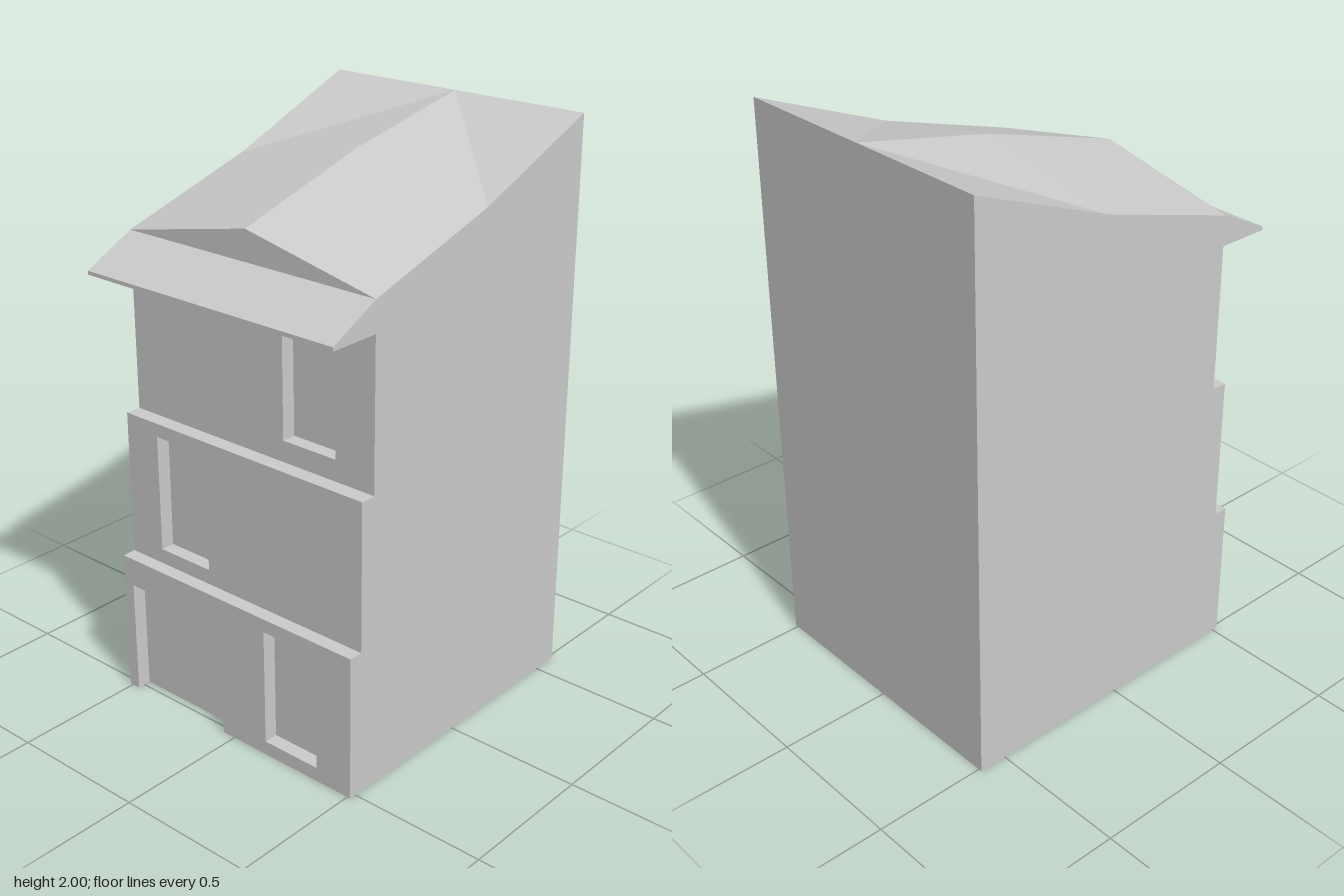
import * as THREE from 'three';

const W = 0.512; // half width of the house
const BACK = -0.6;
const EAVE_Z = 0.42;

const material = new THREE.MeshStandardMaterial({
  color: 0xcccccc, flatShading: true, side: THREE.DoubleSide,
});

function shapeOf(points) {
  return new THREE.Shape(points.map(([x, y]) => new THREE.Vector2(x, y)));
}

// Flat faces, each a fan of counter-clockwise corners
function faces(list) {
  const pos = [];
  for (const f of list) {
    for (let i = 1; i < f.length - 1; i++) pos.push(...f[0], ...f[i], ...f[i + 1]);
  }
  const g = new THREE.BufferGeometry();
  g.setAttribute('position', new THREE.Float32BufferAttribute(pos, 3));
  g.computeVertexNormals();
  return g;
}

// Inside of a window or door opening; a doorway at ground level has no sill
function recess({ x0, x1, y0, y1 }, z, depth = 0.05) {
  const b = z - depth;
  const list = [
    [[x0, y0, b], [x1, y0, b], [x1, y1, b], [x0, y1, b]],
    [[x0, y0, z], [x0, y0, b], [x0, y1, b], [x0, y1, z]],
    [[x1, y0, b], [x1, y0, z], [x1, y1, z], [x1, y1, b]],
    [[x0, y1, b], [x1, y1, b], [x1, y1, z], [x0, y1, z]],
  ];
  if (y0 > 0) list.push([[x0, y0, z], [x1, y0, z], [x1, y0, b], [x0, y0, b]]);
  return faces(list);
}

export function createModel() {
  const house = new THREE.Group();
  house.name = 'townHouse';
  const add = (name, geometry) => {
    const mesh = new THREE.Mesh(geometry, material);
    mesh.name = name;
    house.add(mesh);
    return mesh;
  };

  // Front walls, each storey set back from the one below
  const door = { x0: -0.47, x1: -0.05, y0: 0, y1: 0.41 };
  const storeys = [
    { name: 'ground', y0: 0, y1: 0.512, z: 0.525, door,
      window: { x0: 0.145, x1: 0.37, y0: 0.05, y1: 0.465 } },
    { name: 'middle', y0: 0.512, y1: 1.027, z: 0.475,
      window: { x0: -0.37, x1: -0.147, y0: 0.565, y1: 0.98 } },
    { name: 'upper', y0: 1.027, y1: 1.54, z: EAVE_Z,
      window: { x0: 0.145, x1: 0.36, y0: 1.10, y1: 1.465 } },
  ];
  storeys.forEach((s, i) => {
    const outline = [[-W, s.y0]];
    if (s.door) {
      const d = s.door;
      outline.push([d.x0, d.y0], [d.x0, d.y1], [d.x1, d.y1], [d.x1, d.y0]);
    }
    outline.push([W, s.y0], [W, s.y1], [-W, s.y1]);
    const shape = shapeOf(outline);
    const w = s.window;
    shape.holes.push(shapeOf([[w.x0, w.y0], [w.x0, w.y1], [w.x1, w.y1], [w.x1, w.y0]]));
    add(s.name + 'FrontWall', new THREE.ShapeGeometry(shape)).position.z = s.z;
    add(s.name + 'Window', recess(w, s.z));
    if (s.door) add('garageDoor', recess(s.door, s.z));

    // Ledge up to the next storey
    const next = storeys[i + 1];
    if (next) {
      add(s.name + 'Ledge', faces([
        [[-W, s.y1, s.z], [W, s.y1, s.z], [W, s.y1, next.z], [-W, s.y1, next.z]],
      ]));
    }
  });

  // Side walls follow the stepped front and the bent roof slope
  const profile = [
    [0.525, 0], [BACK, 0], [BACK, 2], [-0.1, 1.8], [EAVE_Z, 1.645],
    [EAVE_Z, 1.027], [0.475, 1.027], [0.475, 0.512], [0.525, 0.512],
  ];
  for (const side of [1, -1]) {
    const g = new THREE.ShapeGeometry(shapeOf(profile.map(([z, y]) => [-side * z, y])));
    g.rotateY(side * Math.PI / 2);
    g.translate(side * W, 0, 0);
    add(side > 0 ? 'leftWall' : 'rightWall', g);
  }

  // Back wall
  add('backWall', faces([[[W, 0, BACK], [-W, 0, BACK], [-W, 2, BACK], [W, 2, BACK]]]));

  // Roof: a ridge that flattens out into the straight back edge
  const ridge = [[0, 1.75, EAVE_Z], [0, 1.9, -0.1], [0, 2, BACK]];
  for (const side of [1, -1]) {
    const eave = [[side * W, 1.645, EAVE_Z], [side * W, 1.8, -0.1], [side * W, 2, BACK]];
    const list = [
      [eave[0], eave[1], ridge[1], ridge[0]],
      [eave[1], ridge[2], ridge[1]],
      [eave[1], eave[2], ridge[2]],
    ];
    if (side < 0) list.forEach((f) => f.reverse());
    add(side > 0 ? 'roofLeft' : 'roofRight', faces(list));
  }
  add('gable', faces([[[-W, 1.645, EAVE_Z], [W, 1.645, EAVE_Z], ridge[0]]]));

  // Sloping canopy over the front
  const canopy = new THREE.ExtrudeGeometry(
    shapeOf([[-0.605, 1.54], [-EAVE_Z, 1.54], [-EAVE_Z, 1.645], [-0.605, 1.553]]),
    { depth: 2 * W, bevelEnabled: false },
  );
  canopy.rotateY(Math.PI / 2);
  canopy.translate(-W, 0, 0);
  add('canopy', canopy);

  return house;
}
